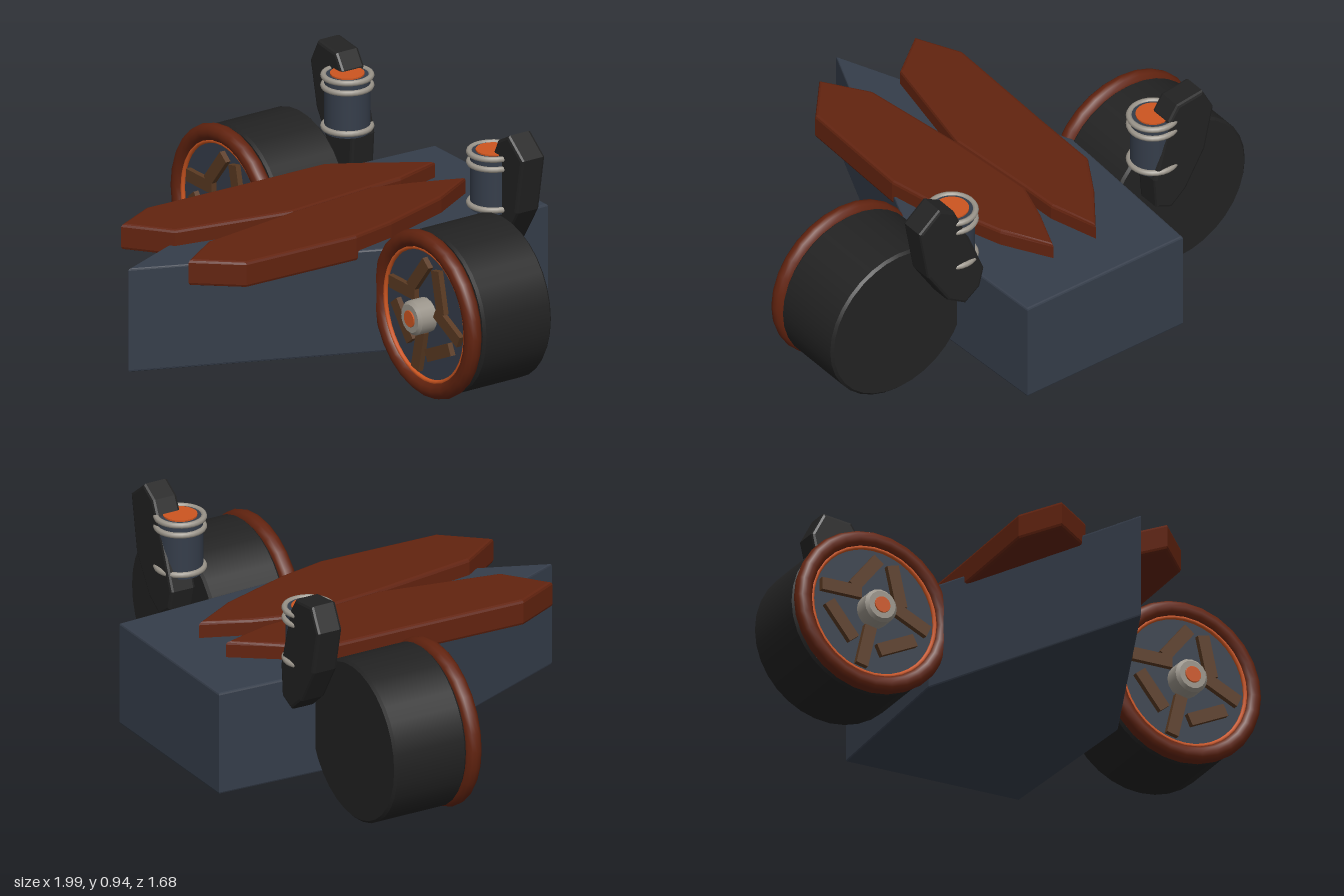
import * as THREE from 'three';

const mat = (name, color) => new THREE.MeshStandardMaterial({ name, color });

export function createModel() {
  const slate = mat('slate', 0x353d4a);
  const rust = mat('rust', 0x62230f);
  const black = mat('black', 0x222222);
  const orange = mat('orange', 0xcc5520);
  const metal = mat('metal', 0x9a948a);
  const bronze = mat('bronze', 0x5a3a22);

  const model = new THREE.Group();
  model.name = 'hovercraft';

  const add = (parent, name, geometry, material, x = 0, y = 0, z = 0) => {
    const mesh = new THREE.Mesh(geometry, material);
    mesh.name = name;
    mesh.position.set(x, y, z);
    parent.add(mesh);
    return mesh;
  };

  // Bevelled slab from an outline, total thickness d, starting at z = 0
  const slab = (points, d, b) => {
    const shape = new THREE.Shape(points.map(([x, y]) => new THREE.Vector2(x, y)));
    return new THREE.ExtrudeGeometry(shape, {
      depth: d - 2 * b, bevelThickness: b, bevelSize: b, bevelOffset: -b, bevelSegments: 2,
    }).translate(0, 0, b);
  };
  // Outline in x/z, hanging down from y = 0
  const deck = (points, d, b) => slab(points, d, b).rotateX(Math.PI / 2);
  // Round part with rounded rims, along z and centred
  const drum = (r, d, b, sides) => {
    const h = d / 2;
    const profile = [[0, -h], [r - b, -h], [r - b, -h], [r, b - h], [r, b - h], [r, h - b], [r, h - b], [r - b, h], [r - b, h], [0, h]];
    return new THREE.LatheGeometry(profile.map(([x, y]) => new THREE.Vector2(x, y)), sides).rotateX(Math.PI / 2);
  };

  // Wedge-nosed hull
  add(model, 'hull', deck([
    [-0.37, -0.84], [0.37, -0.84], [0.405, -0.11], [0, 0.84], [-0.405, -0.11],
  ], 0.42, 0.008), slate, 0, 0.51, 0);

  // Two long deck plates
  add(model, 'rightDeckPlate', deck([
    [-0.1, -0.65], [-0.04, -0.45], [-0.03, -0.3], [0.005, 0.08], [-0.09, 0.56],
    [-0.26, 0.69], [-0.35, 0.51], [-0.335, 0], [-0.33, -0.3], [-0.23, -0.47],
  ], 0.105, 0.012), rust, 0, 0.574, 0);
  add(model, 'leftDeckPlate', deck([
    [0.1, -0.65], [0.21, -0.46], [0.31, -0.16], [0.35, 0.03], [0.335, 0.53],
    [0.19, 0.695], [0.07, 0.52], [0.005, 0.08], [-0.03, -0.3], [0.02, -0.46],
  ], 0.105, 0.012), rust, 0, 0.575, 0);

  const brackets = {
    right: [[-0.65, 0.925], [-0.7, 0.83], [-0.66, 0.65], [-0.57, 0.5], [-0.5, 0.44],
      [-0.43, 0.47], [-0.42, 0.6], [-0.49, 0.85], [-0.53, 0.91]],
    left: [[0.6, 0.94], [0.53, 0.9], [0.46, 0.75], [0.39, 0.57], [0.41, 0.49],
      [0.48, 0.44], [0.56, 0.49], [0.655, 0.64], [0.695, 0.865]],
  };

  for (const [label, side] of [['left', 1], ['right', -1]]) {
    // Turbine wheel
    const wheel = new THREE.Group();
    wheel.name = label + 'Wheel';
    wheel.position.set(side * 0.665, 0.333, 0);
    model.add(wheel);
    add(wheel, 'housing', drum(0.32, 0.315, 0.01, 32), black, 0, 0, -0.27);
    add(wheel, 'rim', new THREE.TorusGeometry(0.297, 0.034, 12, 28), rust, 0, 0, -0.075);
    add(wheel, 'glowRing', new THREE.TorusGeometry(0.263, 0.009, 8, 40), orange, 0, 0, -0.066);
    add(wheel, 'face', drum(0.265, 0.05, 0.002, 32), slate, 0, 0, -0.1);
    add(wheel, 'hub', drum(0.068, 0.09, 0.012, 16), metal, 0, 0, -0.038);
    add(wheel, 'hubCap', drum(0.033, 0.008, 0.001, 16), orange, 0, 0, 0.008);

    // Seven slanted vanes around the hub
    for (let i = 0; i < 7; i++) {
      const a = i * Math.PI * 2 / 7;
      const vane = add(wheel, 'vane', new THREE.BoxGeometry(0.17, 0.05, 0.03), bronze,
        0.155 * Math.cos(a), 0.155 * Math.sin(a), -0.068);
      vane.rotation.z = -a - 0.45;
    }

    // Canister with metal bands and a glowing top
    const canister = new THREE.Group();
    canister.name = label + 'Canister';
    canister.position.set(side * 0.478, 0, -0.51);
    model.add(canister);
    add(canister, 'body', new THREE.CylinderGeometry(0.088, 0.088, 0.23, 24), slate, 0, 0.725, 0);
    add(canister, 'glow', new THREE.CylinderGeometry(0.066, 0.066, 0.008, 24), orange, 0, 0.842, 0);
    for (const y of [0.836, 0.795, 0.63]) {
      add(canister, 'band', new THREE.TorusGeometry(0.091, 0.012, 8, 28).rotateX(Math.PI / 2), metal, 0, y, 0);
    }

    // Irregular rear bracket
    add(model, label + 'Bracket', slab(brackets[label], 0.108, 0.012), black, 0, 0, -0.6);
  }

  return model;
}
